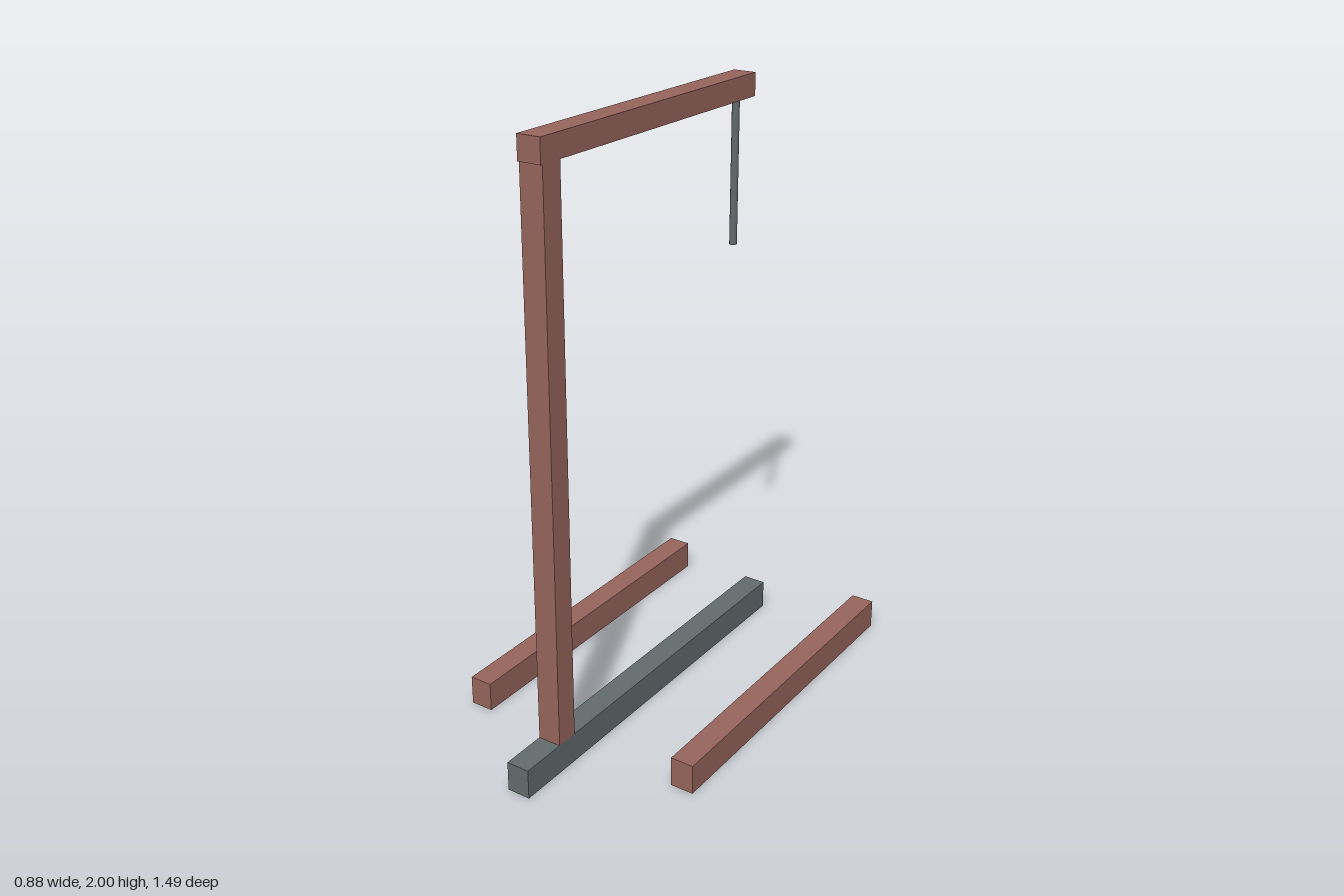
import * as THREE from 'three';

export function createModel() {
  const model = new THREE.Group();
  const rust = new THREE.MeshStandardMaterial({ color: 0x96655c });
  const steel = new THREE.MeshStandardMaterial({ color: 0x636b6d });
  const W = 0.079; // width shared by all beams

  // Box beam given by its centre x and its y and z extents
  function beam(name, material, x, y0, y1, z0, z1) {
    const mesh = new THREE.Mesh(new THREE.BoxGeometry(W, y1 - y0, z1 - z0), material);
    mesh.position.set(x, (y0 + y1) / 2, (z0 + z1) / 2);
    mesh.name = name;
    model.add(mesh);
  }

  // Base: central beam and two side rails
  beam('centreBeam', steel, 0, 0, 0.1, -0.648, 0.747);
  beam('leftRail', rust, 0.398, 0, 0.1, -0.747, 0.448);
  beam('rightRail', rust, -0.398, 0, 0.1, -0.747, 0.448);

  // Upright post and overhanging arm
  beam('post', rust, 0, 0.1, 1.925, 0.513, 0.59);
  beam('arm', rust, 0, 1.925, 2, -0.497, 0.597);

  // Rod hanging from the end of the arm
  const rod = new THREE.Mesh(new THREE.CylinderGeometry(0.0125, 0.0125, 0.48, 12), steel);
  rod.position.set(0, 1.685, -0.446);
  rod.name = 'hangingRod';
  model.add(rod);

  return model;
}
